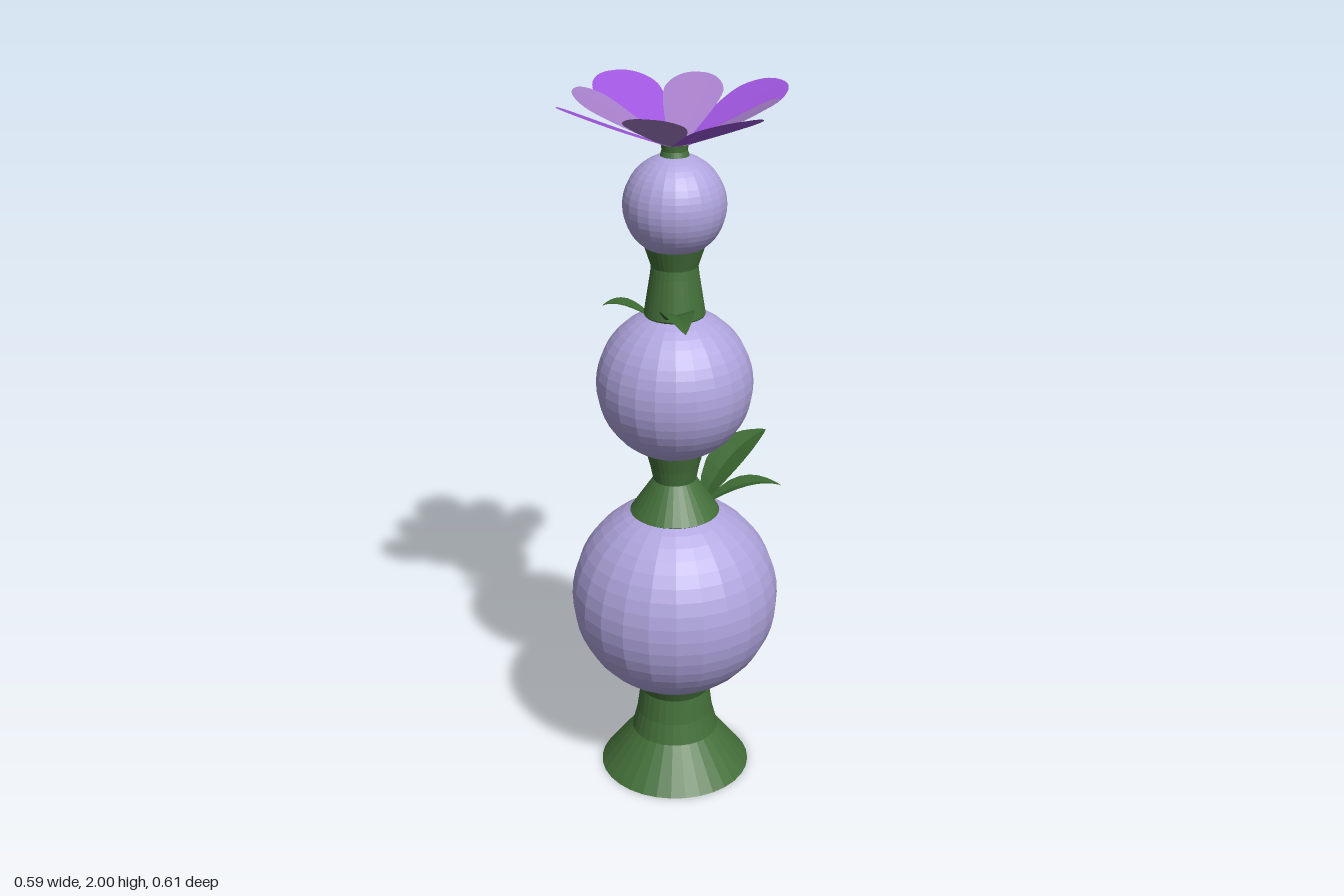
import * as THREE from 'three';

const material = (color, flat = true) => new THREE.MeshStandardMaterial({ color, flatShading: flat, side: THREE.DoubleSide });
const green = material(0x44703a), leafGreen = material(0x3a6630), lavender = material(0xb0a5de);
const violet = material(0x9f55de, false), mauve = material(0xa67fca, false);

// Blade swept along a curve: half width by position, edges lifted by fold
function blade(curve, halfWidth, fold, rows) {
  const a = curve.getPoint(0), b = curve.getPoint(1);
  const side = new THREE.Vector3(b.z - a.z, 0, a.x - b.x).normalize();
  const pos = [], index = [];
  for (let i = 0; i <= rows; i++) {
    const t = Math.sin((i / rows) * Math.PI / 2);
    const p = curve.getPoint(t), w = halfWidth(t);
    for (const s of [-1, -0.5, 0, 0.5, 1]) {
      const q = p.clone().addScaledVector(side, s * w);
      pos.push(q.x, q.y + Math.abs(s) * w * fold, q.z);
    }
  }
  for (let i = 0; i < rows; i++) {
    for (let j = 0; j < 4; j++) {
      const k = i * 5 + j;
      index.push(k, k + 1, k + 5, k + 1, k + 6, k + 5);
    }
  }
  const g = new THREE.BufferGeometry();
  g.setAttribute('position', new THREE.Float32BufferAttribute(pos, 3));
  g.setIndex(index);
  g.computeVertexNormals();
  return g;
}

export function createModel() {
  const model = new THREE.Group();
  const axis = new THREE.Group();
  axis.name = 'stalk';
  axis.position.z = 0.011;
  model.add(axis);
  const add = (parent, name, geometry, mat) => {
    const mesh = new THREE.Mesh(geometry, mat);
    mesh.name = name;
    parent.add(mesh);
    return mesh;
  };

  // Stacked globes
  [['lowerGlobe', 0.56, 0.293], ['middleGlobe', 1.21, 0.214], ['upperGlobe', 1.71, 0.137]].forEach(([name, y, r]) => {
    add(axis, name, new THREE.SphereGeometry(r, 24, 24), lavender).position.y = y;
  });

  // Flared green stem sections between the globes, as [radius, height]
  const stems = {
    base: [[0, 0], [0.217, 0], [0.125, 0.12], [0.11, 0.18], [0.1, 0.255], [0.122, 0.3], [0.08, 0.33]],
    lowerStem: [[0.1, 0.81], [0.125, 0.828], [0.06, 0.925], [0.068, 0.965], [0.083, 1.02], [0.06, 1.03]],
    upperStem: [[0.07, 1.39], [0.083, 1.412], [0.066, 1.52], [0.063, 1.545], [0.083, 1.605], [0.06, 1.62]],
    neck: [[0.042, 1.83], [0.034, 1.855], [0.036, 1.872], [0, 1.872]],
  };
  for (const [name, points] of Object.entries(stems)) {
    add(axis, name, new THREE.LatheGeometry(points.map(p => new THREE.Vector2(...p)), 32), green);
  }

  // Flower: eight petals, long ones on the diagonals
  const flower = new THREE.Group();
  flower.name = 'flower';
  axis.add(flower);
  const petal = (length, width) => {
    const curve = new THREE.QuadraticBezierCurve3(
      new THREE.Vector3(0, 1.87, 0.025),
      new THREE.Vector3(0, 1.925, length * 0.5),
      new THREE.Vector3(0, 1.998, length));
    const halfWidth = t => {
      const grow = 0.28 + 0.72 * THREE.MathUtils.smoothstep(t, -0.15, 0.85);
      const end = t > 0.7 ? Math.pow(Math.max(0, 1 - ((t - 0.7) / 0.3) ** 2), 0.45) : 1;
      return width * grow * end;
    };
    return blade(curve, halfWidth, 0.02, 20);
  };
  const longPetal = petal(0.325, 0.1), shortPetal = petal(0.268, 0.083);
  for (let i = 0; i < 8; i++) {
    const diagonal = i % 2 === 1;
    const mesh = add(flower, 'petal', diagonal ? longPetal : shortPetal, diagonal ? violet : mauve);
    mesh.rotation.y = i * Math.PI / 4;
  }
  const heart = add(flower, 'flowerCentre', new THREE.CylinderGeometry(0.03, 0.026, 0.008, 20), mauve);
  heart.position.y = 1.876;

  // Pointed leaves: root, control point, tip, half width
  const leaves = [
    ['largeLeaf', [0.06, 0.82, -0.09], [0.11, 0.95, -0.18], [0.193, 0.957, -0.305], 0.062],
    ['smallLeaf', [0.08, 0.82, -0.08], [0.18, 0.895, -0.13], [0.265, 0.837, -0.19], 0.035],
    ['upperFrontLeaf', [0.01, 1.4, 0.07], [0.04, 1.5, 0.16], [0.093, 1.45, 0.267], 0.045],
    ['upperSideLeaf', [-0.06, 1.4, 0.03], [-0.14, 1.455, 0.04], [-0.19, 1.428, 0.05], 0.03],
  ];
  for (const [name, root, bend, tip, width] of leaves) {
    const curve = new THREE.QuadraticBezierCurve3(...[root, bend, tip].map(p => new THREE.Vector3(...p)));
    const halfWidth = t => width * Math.pow(Math.sin(Math.PI * Math.min(1, 0.08 + 0.92 * t)), 0.85);
    add(model, name, blade(curve, halfWidth, 0.25, 10), leafGreen);
  }
  return model;
}
